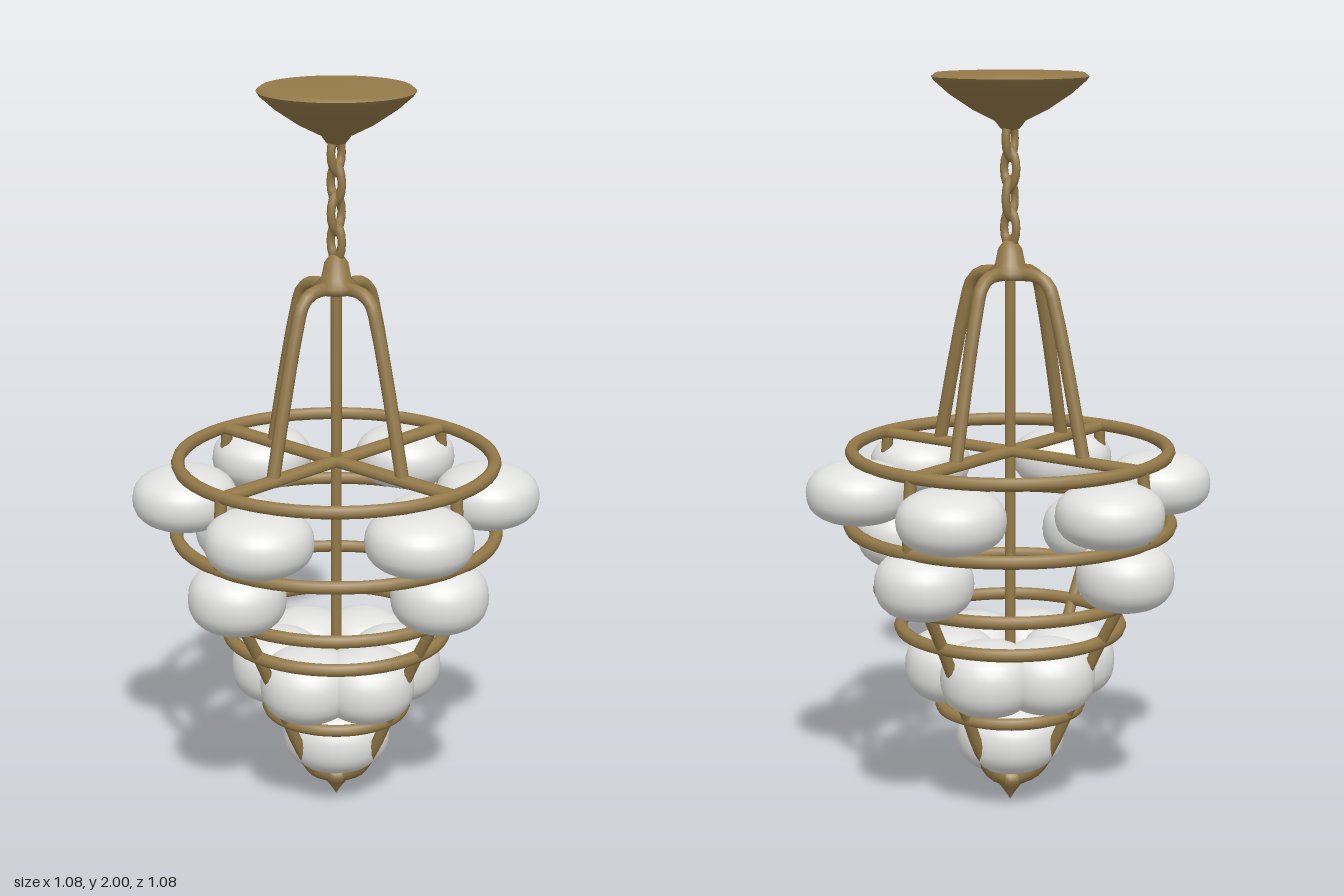
import * as THREE from 'three';

export function createModel() {
  const model = new THREE.Group();
  const brass = new THREE.MeshStandardMaterial({ color: 0x947a49 });
  brass.name = 'antique brass';
  const glass = new THREE.MeshStandardMaterial({ color: 0xe2e2e0 });
  glass.name = 'white glass';

  const add = (geometry, material, name, parent = model) => {
    const mesh = new THREE.Mesh(geometry, material);
    mesh.name = name;
    parent.add(mesh);
    return mesh;
  };
  const lathe = (points, sides = 32) =>
    new THREE.LatheGeometry(points.map(([r, y]) => new THREE.Vector2(r, y)), sides);
  const tube = (points, radius, segments = 24) => new THREE.TubeGeometry(
    new THREE.CatmullRomCurve3(points.map(([x, y]) => new THREE.Vector3(x, y, 0)), false, 'centripetal'),
    segments, radius, 8);

  // Ceiling canopy with a flat top, profile listed from bottom to top
  add(lathe([[0, 1.85], [0.025, 1.855], [0.04, 1.875], [0.1, 1.905], [0.16, 1.945],
    [0.2, 1.98], [0.207, 1.99]]), brass, 'canopy');
  add(lathe([[0.207, 1.99], [0.195, 2], [0, 2]]), brass, 'canopyTop');

  // Chain of alternating long links
  const chain = new THREE.Group();
  chain.name = 'chain';
  model.add(chain);
  for (let i = 0; i < 4; i++) {
    const link = add(new THREE.TorusGeometry(0.02, 0.011, 8, 16), brass, 'chainLink', chain);
    link.scale.y = 2.0;
    link.position.y = 1.595 + i * 0.078;
    link.rotation.y = i % 2 * Math.PI / 2;
  }

  // Hub, central rod and bottom finial
  add(lathe([[0, 1.455], [0.05, 1.46], [0.06, 1.48], [0.04, 1.5], [0.032, 1.54],
    [0.018, 1.56], [0, 1.565]], 20), brass, 'hub');
  const rod = add(new THREE.CylinderGeometry(0.015, 0.015, 1.42, 10), brass, 'centralRod');
  rod.position.y = 0.77;
  add(lathe([[0, 0], [0.012, 0.02], [0.03, 0.045], [0.045, 0.065], [0.04, 0.08], [0.018, 0.1], [0, 0.1]], 20),
    brass, 'finial');

  // Horizontal cage rings: radius, height, tube radius
  const rings = [[0.427, 0.997, 0.018], [0.435, 0.797, 0.018], [0.356, 0.615, 0.018],
    [0.3, 0.51, 0.018], [0.19, 0.283, 0.017]];
  for (const [radius, y, thickness] of rings) {
    const ring = add(new THREE.TorusGeometry(radius, thickness, 8, 48), brass, 'cageRing');
    ring.rotation.x = Math.PI / 2;
    ring.position.y = y;
  }

  // Four repeats of hanging arm, top spoke and cage rib
  const arm = tube([[0.02, 1.475], [0.09, 1.472], [0.125, 1.45], [0.15, 1.38], [0.19, 1.22], [0.24, 0.995]], 0.018);
  const rib = tube([[0.427, 0.997], [0.435, 0.797], [0.356, 0.615], [0.3, 0.51], [0.19, 0.283],
    [0.145, 0.19], [0.09, 0.105], [0.02, 0.06]], 0.016, 40);
  const spoke = new THREE.CylinderGeometry(0.025, 0.025, 0.42, 8).rotateZ(Math.PI / 2)
    .scale(1, 0.62, 1).translate(0.21, 0.993, 0);
  for (let i = 0; i < 4; i++) {
    const quarter = new THREE.Group();
    quarter.name = 'frameQuarter';
    quarter.rotation.y = i * Math.PI / 2;
    add(arm, brass, 'hangingArm', quarter);
    add(spoke, brass, 'topSpoke', quarter);
    add(rib, brass, 'cageRib', quarter);
    model.add(quarter);
  }

  // Squashed glass globe with a rounded, boxy side profile
  const globeProfile = [];
  for (let i = 0; i <= 16; i++) {
    const t = -Math.PI / 2 + i / 16 * Math.PI;
    const r = i % 16 ? Math.pow(Math.cos(t), 0.8) : 0;
    globeProfile.push([r, Math.sign(t) * Math.pow(Math.abs(Math.sin(t)), 0.85)]);
  }
  const globe = lathe(globeProfile, 28);

  // Globe tiers: count, orbit radius, height, globe radius, half height, first angle
  const tiers = [[6, 0.41, 0.892, 0.142, 0.083, 15], [4, 0.375, 0.705, 0.13, 0.092, 0],
    [6, 0.16, 0.4, 0.13, 0.1, 15], [1, 0, 0.193, 0.15, 0.1, 0]];
  tiers.forEach(([count, orbit, y, radius, half, start], tier) => {
    const group = new THREE.Group();
    group.name = 'globeTier' + (tier + 1);
    for (let i = 0; i < count; i++) {
      const a = THREE.MathUtils.degToRad(start + i * 360 / count);
      const ball = add(globe, glass, 'glassGlobe', group);
      ball.position.set(orbit * Math.cos(a), y, orbit * Math.sin(a));
      ball.scale.set(radius, half, radius);
    }
    model.add(group);
  });

  return model;
}
